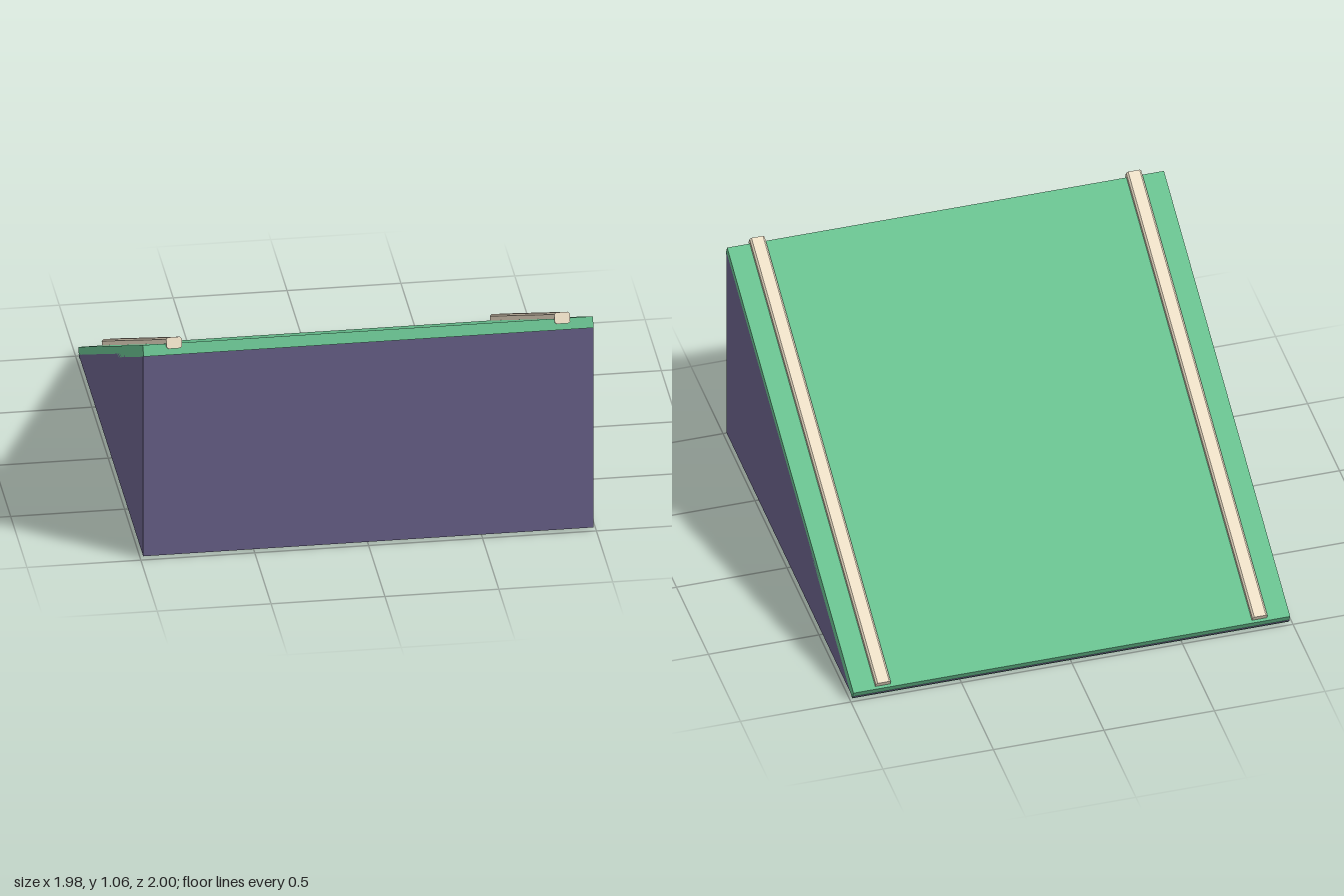
import * as THREE from 'three';

const WIDTH = 1.976;          // across x
const RISE = 0.988;           // wedge height
const SLOPE = Math.atan(0.5);
const LENGTH = 2.208;         // along the slope
const THICK = 0.05;

const paint = (color) => new THREE.MeshStandardMaterial({ color, flatShading: true });

// Extrude a shape and centre it along its depth
function extrude(shape, depth) {
  return new THREE.ExtrudeGeometry(shape, { depth, bevelEnabled: false }).translate(0, 0, -depth / 2);
}

export function createModel() {
  const model = new THREE.Group();
  model.name = 'ramp';
  const add = (name, geometry, material, parent = model) => {
    const mesh = new THREE.Mesh(geometry, material);
    mesh.name = name;
    parent.add(mesh);
    return mesh;
  };

  // Solid triangular body, tall at the front
  const h = WIDTH / 2;
  const triangle = new THREE.Shape([
    new THREE.Vector2(-h, 0), new THREE.Vector2(h, 0), new THREE.Vector2(-h, RISE),
  ]);
  const body = add('wedgeBody', extrude(triangle, WIDTH), paint(0x6a628b));
  body.rotation.y = Math.PI / 2;
  body.position.y = 0.012;

  // Sloping deck lying on the body
  const deck = add('deck', new THREE.BoxGeometry(WIDTH, THICK, LENGTH), paint(0x69c190));
  deck.position.y = 0.516;
  deck.rotation.x = -SLOPE;

  // Chamfered side rails, half sunk into the deck
  const w = 0.034, t = THICK / 2, c = 0.008;
  const profile = new THREE.Shape([
    [-w + c, -t], [w - c, -t], [w, -t + c], [w, t - c],
    [w - c, t], [-w + c, t], [-w, t - c], [-w, -t + c],
  ].map(([x, y]) => new THREE.Vector2(x, y)));
  const railGeometry = extrude(profile, LENGTH);
  const railMaterial = paint(0xeee0c8);
  for (const [name, side] of [['leftRail', 1], ['rightRail', -1]]) {
    const rail = add(name, railGeometry, railMaterial);
    rail.position.set(side * 0.852, 0.546, 0);
    rail.rotation.x = -SLOPE;
  }

  return model;
}
